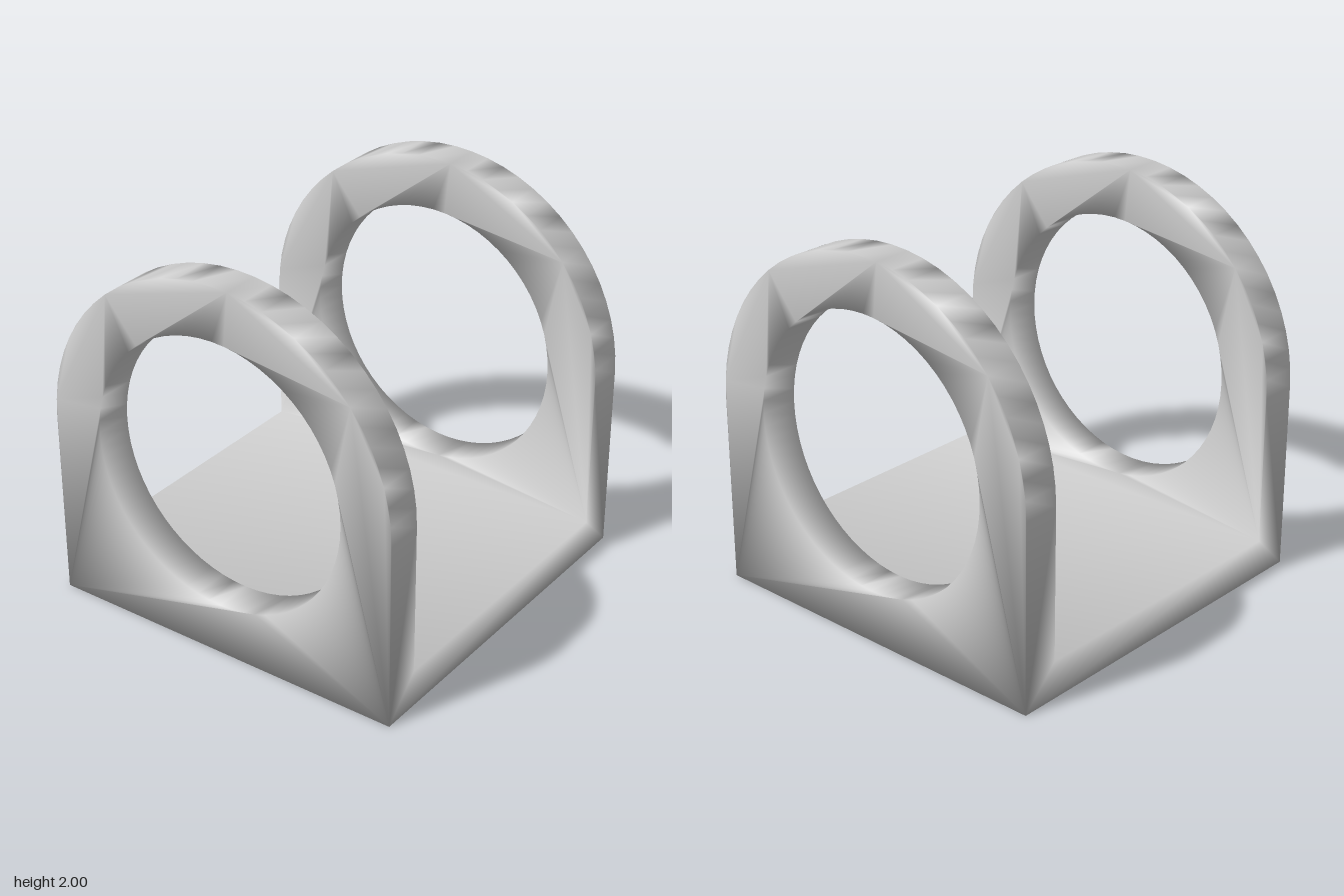
import * as THREE from 'three';
import { mergeGeometries, mergeVertices } from 'three/addons/utils/BufferGeometryUtils.js';

const SEG = 64;      // segments in a full circle
const OUT = 1;       // outer half width
const IN = 0.8;      // inner half width, between the side rings
const FLOOR = 0.2;   // floor thickness
const HOLE = 0.72;   // radius of the side openings

// Points on an arc around (0, 1)
function arc(radius, start, sweep, n) {
  return Array.from({ length: n + 1 }, (_, i) => {
    const a = start + (sweep * i) / n;
    return new THREE.Vector2(radius * Math.cos(a), 1 + radius * Math.sin(a));
  });
}

const vec = (x, y) => new THREE.Vector2(x, y);

// Flat face from an outline, each point placed by a rule
function face(outline, hole, place) {
  const shape = new THREE.Shape(outline);
  if (hole) shape.holes.push(new THREE.Path(hole));
  const geo = new THREE.ShapeGeometry(shape);
  const pos = geo.attributes.position;
  for (let i = 0; i < pos.count; i++) pos.setXYZ(i, ...place(pos.getX(i), pos.getY(i)));
  geo.deleteAttribute('normal');
  geo.deleteAttribute('uv');
  return geo;
}

// Band swept along x, following a path in the side plane; faces right of travel
function band(path, x0, x1) {
  const pos = [], index = [];
  path.forEach((p, i) => {
    pos.push(x0, p.y, -p.x, x1, p.y, -p.x);
    if (i < path.length - 1) {
      const a = 2 * i;
      index.push(a, a + 2, a + 3, a, a + 3, a + 1);
    }
  });
  const geo = new THREE.BufferGeometry();
  geo.setAttribute('position', new THREE.Float32BufferAttribute(pos, 3));
  geo.setIndex(index);
  return geo;
}

export function createModel() {
  const arch = arc(1, 0, Math.PI, SEG / 2);
  const circle = arc(HOLE, 0, 2 * Math.PI, SEG);
  const hole = circle.slice(0, -1);
  const sideOutline = (y) => [vec(-1, y), vec(1, y), ...arch];
  const parts = [];

  // Side rings: outer face, inner face, arched rim and opening
  for (const s of [1, -1]) {
    parts.push(face(sideOutline(0), hole, (u, v) => [s * OUT, v, -s * u]));
    parts.push(face(sideOutline(FLOOR), hole, (u, v) => [s * IN, v, s * u]));
    const x0 = s > 0 ? IN : -OUT, x1 = s > 0 ? OUT : -IN;
    parts.push(band(arch, x0, x1));
    parts.push(band([...circle].reverse(), x0, x1));
  }

  // U-shaped front and back
  const u = [
    vec(-OUT, 0), vec(OUT, 0), vec(OUT, 1), vec(IN, 1),
    vec(IN, FLOOR), vec(-IN, FLOOR), vec(-IN, 1), vec(-OUT, 1),
  ];
  for (const s of [1, -1]) parts.push(face(u, null, (x, y) => [s * x, y, s]));

  // Floor top and underside
  parts.push(band([vec(1, FLOOR), vec(-1, FLOOR)], -IN, IN));
  parts.push(band([vec(-1, 0), vec(1, 0)], -OUT, OUT));

  // Weld into one solid with soft shading across the edges
  const geometry = mergeVertices(mergeGeometries(parts), 1e-4);
  geometry.computeVertexNormals();

  const frame = new THREE.Mesh(geometry, new THREE.MeshStandardMaterial({ color: 0xcccccc }));
  frame.name = 'ringSidedCradle';
  const group = new THREE.Group();
  group.name = 'cradle';
  group.add(frame);
  return group;
}
